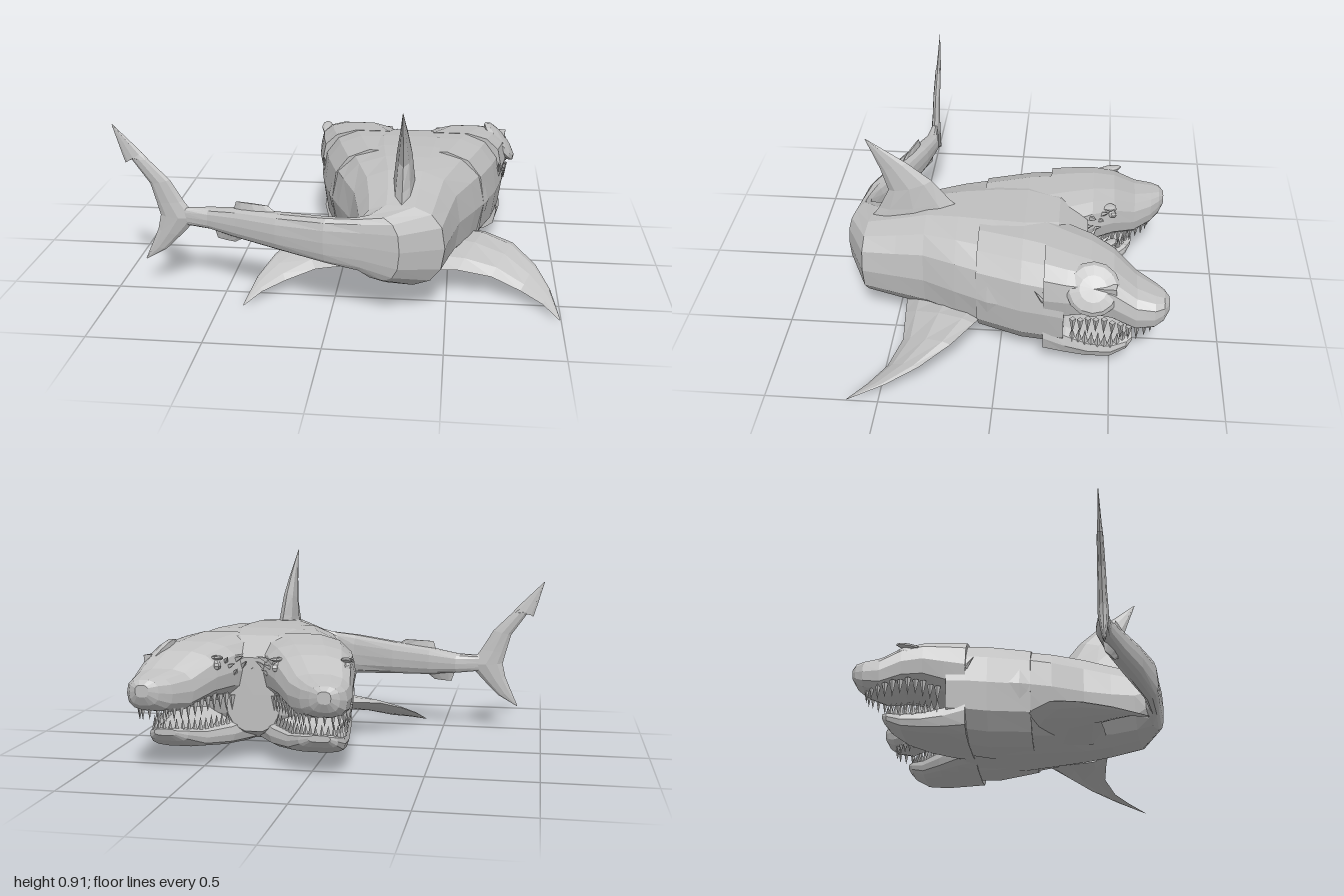
import * as THREE from 'three';

const V3 = (x, y, z) => new THREE.Vector3(x, y, z);
const MID = 0.3; // plane of symmetry of trunk and heads

export function createModel() {
  const model = new THREE.Group();
  const skin = new THREE.MeshStandardMaterial({ color: 0xc0c0c0, flatShading: true });
  skin.name = 'grey skin';

  const add = (name, geometry, parent = model) => {
    const mesh = new THREE.Mesh(geometry, skin);
    mesh.name = name;
    parent.add(mesh);
    return mesh;
  };

  // Skin over rings {c, u, v}: superellipses around c with half axes u and v
  function loft(rings, n = 14, p = 0.78) {
    const cross = rings[0].u.clone().cross(rings[0].v);
    const flip = cross.dot(rings[1].c.clone().sub(rings[0].c)) > 0 ? -1 : 1;
    const pos = [], idx = [];
    const pw = (t) => Math.sign(t) * Math.abs(t) ** p;
    for (const { c, u, v } of rings) {
      for (let j = 0; j < n; j++) {
        const a = (j / n) * Math.PI * 2;
        const q = c.clone().addScaledVector(u, pw(Math.cos(a))).addScaledVector(v, flip * pw(Math.sin(a)));
        pos.push(q.x, q.y, q.z);
      }
    }
    const last = rings.length - 1, c0 = rings.length * n, c1 = c0 + 1;
    pos.push(...rings[0].c.toArray(), ...rings[last].c.toArray());
    for (let j = 0; j < n; j++) {
      const k = (j + 1) % n;
      for (let i = 0; i < last; i++) {
        const a = i * n + j, b = i * n + k;
        idx.push(a, a + n, b, b, a + n, b + n);
      }
      idx.push(c0, j, k, c1, last * n + k, last * n + j);
    }
    const g = new THREE.BufferGeometry();
    g.setAttribute('position', new THREE.Float32BufferAttribute(pos, 3));
    g.setIndex(idx);
    const flat = g.toNonIndexed();
    flat.computeVertexNormals();
    return flat;
  }

  // Body ring from two side points in plan and a bottom and top height
  const ring = ([ax, az, bx, bz, yb, yt]) => ({
    c: V3((ax + bx) / 2, (yb + yt) / 2, (az + bz) / 2),
    u: V3((bx - ax) / 2, 0, (bz - az) / 2),
    v: V3(0, (yt - yb) / 2, 0),
  });

  // Fin from rows of leading point, trailing point and half thickness
  const fin = (rows, axis) => loft(rows.map(([l, t, h]) => {
    const a = V3(...l), b = V3(...t);
    return { c: a.clone().add(b).multiplyScalar(0.5), u: b.sub(a).multiplyScalar(0.5), v: axis.clone().multiplyScalar(h) };
  }), 8, 1.15);

  // Tail stem bending into the trunk, closing between the two heads
  add('trunkAndTail', loft([
    [-0.70, 0.445, -0.70, 0.475, 0.32, 0.40],
    [-0.56, 0.425, -0.58, 0.495, 0.305, 0.405],
    [-0.42, 0.46, -0.44, 0.55, 0.285, 0.425],
    [-0.22, 0.53, -0.25, 0.63, 0.27, 0.44],
    [0.00, 0.62, -0.03, 0.70, 0.25, 0.46],
    [0.09, 0.65, 0.14, 0.715, 0.23, 0.47],
    [0.10, 0.64, 0.30, 0.735, 0.19, 0.485],
    [0.10, 0.59, 0.49, 0.64, 0.14, 0.51],
    [0.08, 0.48, 0.52, 0.48, 0.11, 0.545],
    [0.05, 0.35, 0.55, 0.35, 0.09, 0.58],
    [-0.02, 0.2, 0.62, 0.2, 0.08, 0.595],
    [-0.08, 0.05, 0.68, 0.05, 0.07, 0.6],
    [-0.11, -0.1, 0.71, -0.1, 0.068, 0.6],
    [0.0, -0.25, 0.6, -0.25, 0.09, 0.585],
    [0.17, -0.38, 0.43, -0.38, 0.15, 0.5],
  ].map(ring)));

  // Heads: rows are z, outer x, inner x, bottom y, top y
  const neck = [[0.1, -0.06, 0.45, 0.08, 0.59], [-0.1, -0.12, 0.4, 0.065, 0.595],
    [-0.2, -0.14, 0.37, 0.075, 0.59], [-0.29, -0.155, 0.31, 0.085, 0.575]];
  const upper = [[-0.2, -0.145, 0.36, 0.24, 0.59], [-0.3, -0.165, 0.3, 0.27, 0.58],
    [-0.4, -0.175, 0.24, 0.31, 0.57], [-0.5, -0.185, 0.17, 0.31, 0.54],
    [-0.6, -0.197, 0.09, 0.28, 0.475], [-0.68, -0.19, 0.02, 0.3, 0.455],
    [-0.72, -0.165, -0.03, 0.33, 0.445], [-0.742, -0.13, -0.07, 0.37, 0.425]];
  const lower = [[-0.2, -0.13, 0.35, 0.075, 0.3], [-0.3, -0.14, 0.3, 0.08, 0.235],
    [-0.4, -0.15, 0.22, 0.085, 0.2], [-0.5, -0.15, 0.12, 0.1, 0.19],
    [-0.57, -0.13, 0.05, 0.14, 0.2], [-0.595, -0.1, 0.0, 0.17, 0.2]];
  const upperGum = [[-0.13, 0.29, -0.33], [-0.16, 0.325, -0.45], [-0.17, 0.305, -0.58], [-0.12, 0.315, -0.67],
    [-0.02, 0.315, -0.66], [0.06, 0.305, -0.58], [0.14, 0.325, -0.47], [0.22, 0.3, -0.35]];
  const lowerGum = [[-0.12, 0.2, -0.33], [-0.13, 0.19, -0.42], [-0.13, 0.185, -0.5], [-0.1, 0.19, -0.56],
    [-0.04, 0.19, -0.58], [0.02, 0.19, -0.55], [0.08, 0.185, -0.5], [0.17, 0.19, -0.4], [0.24, 0.2, -0.33]];

  for (const side of [-1, 1]) {
    const head = new THREE.Group();
    head.name = side < 0 ? 'rightHead' : 'leftHead';
    model.add(head);
    const mx = (x) => (side < 0 ? x : 2 * MID - x);
    const part = (rows, p) => loft(rows.map(([z, o, i, yb, yt]) => ring([mx(o), z, mx(i), z, yb, yt])), 14, p);
    add('neck', part(neck, 0.78), head);
    add('snout', part(upper, 0.75), head);
    add('lowerJaw', part(lower, 0.62), head);

    // Teeth along both gums
    for (const [name, gum, dir, h] of [['upperTooth', upperGum, -1, 0.085], ['lowerTooth', lowerGum, 1, 0.075]]) {
      const path = new THREE.CatmullRomCurve3(gum.map(([x, y, z]) => V3(mx(x), y, z)));
      path.getSpacedPoints(24).forEach((q, i) => {
        const tooth = add(name, new THREE.ConeGeometry(0.015, h * (i % 2 ? 0.85 : 1), 4), head);
        tooth.position.copy(q).y += dir * h * 0.25;
        if (dir < 0) tooth.rotation.x = Math.PI;
      });
    }

    // Almond eyes under a heavy brow
    for (const [x, y, z, yaw] of [[-0.15, 0.485, -0.48, 0.1], [0.15, 0.475, -0.47, -0.6]]) {
      if (side > 0 && x < 0) continue;
      const eye = add('eye', new THREE.SphereGeometry(1, 8, 6), head);
      eye.scale.set(0.022, 0.026, 0.05);
      eye.position.set(mx(x), y, z);
      eye.rotation.y = -side * yaw;
      const brow = add('brow', new THREE.SphereGeometry(1, 8, 5), head);
      brow.scale.set(0.03, 0.012, 0.065);
      brow.position.set(mx(x), y + 0.03, z + 0.01);
      brow.rotation.set(0.2, -side * yaw, 0);
    }

    // Gill slits and torn skin where the heads part
    for (let i = 0; i < 3; i++) {
      const gill = add('gill', new THREE.ConeGeometry(0.01, 0.07, 4), head);
      gill.position.set(mx(-0.14 + i * 0.004), 0.43, -0.25 + i * 0.035);
      gill.rotation.x = 0.6;
    }
    for (let i = 0; i < 6; i++) {
      const scrap = add('tornSkin', new THREE.ConeGeometry(0.016, 0.06, 4), head);
      scrap.position.set(mx(0.2 + i * 0.016), 0.5 - (i % 3) * 0.03, -0.46 + i * 0.018);
      scrap.rotation.set(-0.9, 0, side * (0.5 + (i % 2) * 0.4));
    }
  }

  // Large domed patch over the outer eye of the left head
  const patch = new THREE.Group();
  patch.name = 'eyePatch';
  patch.position.set(0.735, 0.487, -0.412);
  patch.rotation.z = -0.88;
  model.add(patch);
  const dome = add('patchDome', new THREE.SphereGeometry(1, 14, 6), patch);
  dome.scale.set(0.118, 0.035, 0.118);
  const fold = add('patchFold', new THREE.ConeGeometry(0.025, 0.2, 4), patch);
  fold.position.y = 0.022;
  fold.rotation.x = Math.PI / 2;

  // Dorsal fin
  add('dorsalFin', fin([
    [[MID, 0.56, 0.2], [MID, 0.48, 0.63], 0.052],
    [[MID, 0.61, 0.25], [MID, 0.55, 0.58], 0.045],
    [[MID, 0.71, 0.33], [MID, 0.65, 0.53], 0.035],
    [[MID, 0.8, 0.44], [MID, 0.76, 0.56], 0.02],
    [[MID, 0.86, 0.53], [MID, 0.84, 0.59], 0.01],
    [[MID, 0.918, 0.617], [MID, 0.916, 0.62], 0.001],
  ], V3(1, 0, 0)));

  // Pectoral fins
  const pectoral = [
    [[0.5, 0.18, 0.02], [0.42, 0.14, 0.45], 0.055],
    [[0.67, 0.2, 0.11], [0.55, 0.14, 0.44], 0.04],
    [[0.8, 0.185, 0.2], [0.7, 0.11, 0.43], 0.028],
    [[0.9, 0.135, 0.33], [0.83, 0.07, 0.48], 0.018],
    [[0.96, 0.08, 0.47], [0.925, 0.045, 0.555], 0.01],
    [[0.997, 0.015, 0.635], [0.994, 0.013, 0.64], 0.001],
  ];
  add('leftPectoralFin', fin(pectoral, V3(0.3, 1, 0)));
  const mirror = ([x, y, z]) => [2 * MID - x, y, z];
  add('rightPectoralFin', fin(pectoral.map(([l, t, h]) => [mirror(l), mirror(t), h]), V3(-0.3, 1, 0)));

  // Tail fin: rows are leading x, y, trailing x, y, half thickness
  add('tailFin', fin([
    [-0.876, 0.14, -0.88, 0.142, 0.001], [-0.78, 0.195, -0.85, 0.21, 0.01],
    [-0.71, 0.265, -0.815, 0.29, 0.018], [-0.63, 0.35, -0.8, 0.36, 0.024],
    [-0.69, 0.43, -0.815, 0.42, 0.02], [-0.75, 0.53, -0.84, 0.51, 0.018],
    [-0.84, 0.62, -0.925, 0.63, 0.014], [-0.87, 0.655, -0.948, 0.605, 0.012],
    [-0.91, 0.695, -0.965, 0.66, 0.008], [-0.997, 0.782, -1, 0.78, 0.001],
  ].map(([lx, ly, tx, ty, h]) => [[lx, ly, 0.46], [tx, ty, 0.46], h]), V3(0, 0, 1)));

  // Low second dorsal and anal fins on the tail stem
  for (const [name, x0, x1, y0, y1, z] of [['secondDorsalFin', -0.2, -0.46, 0.4, 0.458, 0.54],
    ['analFin', -0.36, -0.56, 0.32, 0.26, 0.49]]) {
    add(name, fin([
      [[x0, y0, z + 0.05], [x1, y0, z - 0.04], 0.02],
      [[x0 - 0.09, y1, z + 0.01], [x1 + 0.02, y1, z - 0.03], 0.004],
    ], V3(0.3, 0, -1)));
  }
  return model;
}
